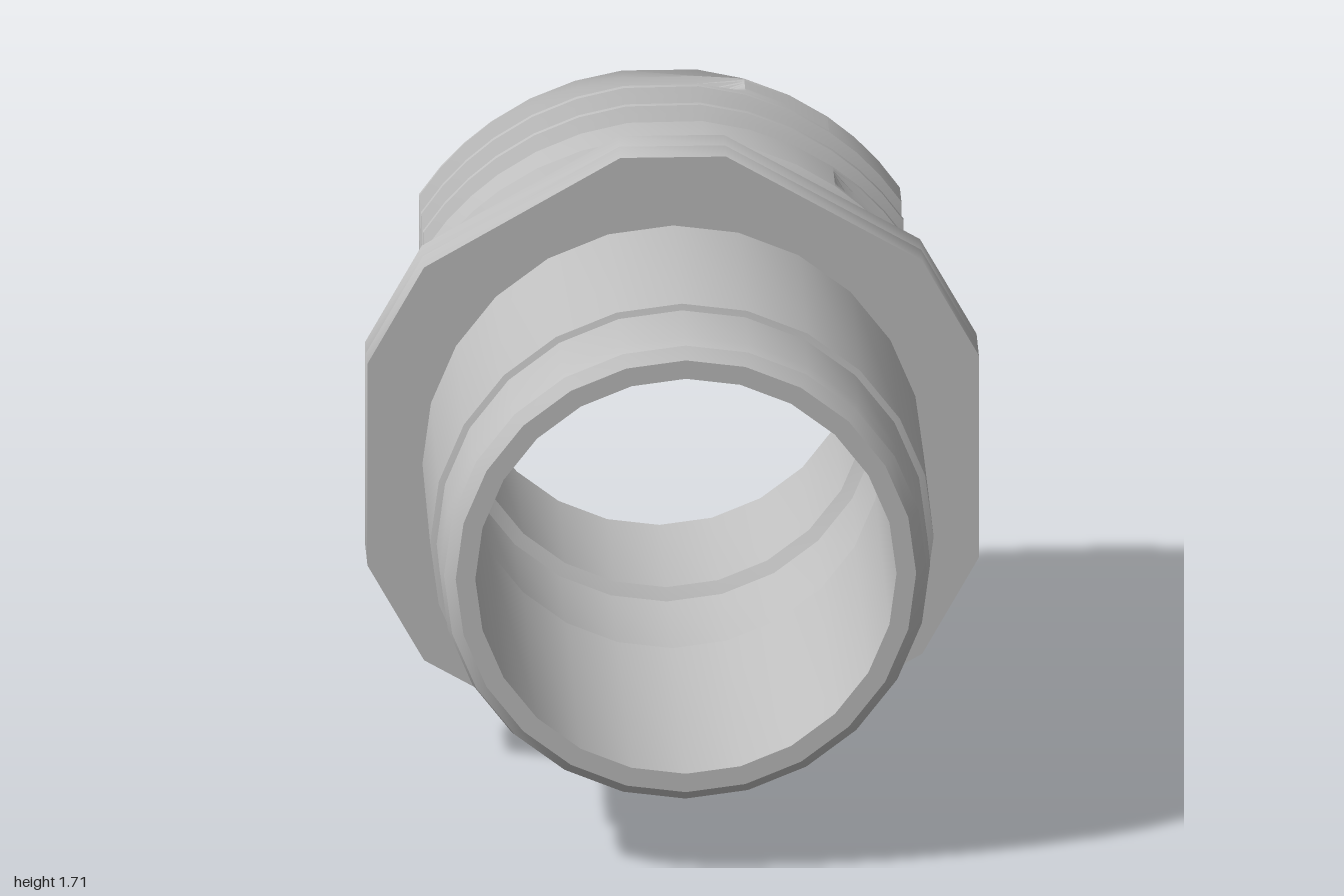
import * as THREE from 'three';
import { toCreasedNormals } from 'three/addons/utils/BufferGeometryUtils.js';

const metal = new THREE.MeshStandardMaterial({ color: 0xc0c0c0 });
metal.name = 'greyMetal';

function part(name, geometry, crease) {
  const mesh = new THREE.Mesh(toCreasedNormals(geometry, crease), metal);
  mesh.name = name;
  return mesh;
}

// Hollow sleeve: outer wall from back to front, rounded lip, then the stepped bore
function sleeve() {
  const profile = [
    [0.618, -0.34], [0.618, -0.05], [0.664, -0.05], [0.667, 0.635], [0.65, 0.64],
    [0.65, 0.84], [0.64, 0.88], [0.61, 0.912], [0.558, 0.912],
    [0.558, -0.04], [0.568, -0.05], [0.568, -0.42], [0.535, -0.44], [0.535, -0.912],
  ].map(([r, t]) => new THREE.Vector2(r, t));
  return new THREE.LatheGeometry(profile, 24).rotateX(Math.PI / 2);
}

// Hexagon with clipped corners and a round hole
function hexSlab(back, front, hole) {
  const quarter = [[0.81, 0.285], [0.66, 0.555], [0.14, 0.857]];
  const right = [...quarter.map(([x, y]) => [x, -y]).reverse(), ...quarter];
  const outline = [...right, ...right.map(([x, y]) => [-x, -y])];
  const shape = new THREE.Shape(outline.map(([x, y]) => new THREE.Vector2(x, y)));
  shape.holes.push(new THREE.Path().absarc(0, 0, hole, 0, Math.PI * 2, true));
  return new THREE.ExtrudeGeometry(shape, { depth: front - back, bevelEnabled: false, curveSegments: 12 })
    .translate(0, 0, back);
}

// Helical V-groove cut in a cylinder whose two sides are milled flat
function thread() {
  const crest = 0.757, root = 0.665, shoulder = 0.71, flat = 0.637, steps = 5;
  const pitch = 0.14, half = 0.062, start = -0.335, end = -0.912;
  const seam = -0.942, lastTurn = 2.78, full = Math.PI * 2;
  const level = (s) => root + (crest - root) * Math.abs(s) / steps;

  // Columns stand where each level of the groove meets the flats
  const quadrant = [0.1, 0.2, 0.7, 0.82, -seam, 1.1, 1.27, 1.44, Math.acos(flat / shoulder)];
  for (let s = 0; s <= steps; s++) quadrant.push(Math.acos(flat / level(s)));
  const angles = quadrant
    .flatMap((a) => [a, Math.PI - a, Math.PI + a, full - a])
    .map((a) => (a >= full + seam - 1e-6 ? a - full : a))
    .sort((a, b) => a - b);
  angles.push(angles[0] + full);

  const points = [];
  let rows = 0;
  angles.forEach((angle, i) => {
    const line = [[start, 0.6], [start, shoulder], [-0.385, crest]];
    for (let k = 0; k < 3; k++) {
      const along = angle / full + k;
      const cut = (i > 0 || k > 0) && along < lastTurn;
      for (let s = -steps; s <= steps; s++) {
        const t = Math.max(end, -0.475 - along * pitch - (s / steps) * half);
        line.push([t, cut ? level(s) : crest]);
      }
    }
    line.push([end, crest], [end, 0.535]);
    rows = line.length;
    for (const [t, r] of line) {
      const clipped = Math.min(r, flat / Math.abs(Math.cos(angle)));
      points.push(new THREE.Vector3(clipped * Math.cos(angle), -clipped * Math.sin(angle), t));
    }
  });

  // Each cell is split along its outer diagonal, which keeps the flat's edge clean
  const reach = (p, q) => Math.abs(points[p].x + points[q].x);
  const index = [];
  for (let i = 0; i < angles.length - 1; i++) {
    for (let j = 0; j < rows - 1; j++) {
      const a = i * rows + j, b = a + 1, c = a + rows, d = c + 1;
      if (reach(a, d) > reach(b, c)) index.push(a, c, d, a, d, b);
      else index.push(a, c, b, b, c, d);
    }
  }
  return new THREE.BufferGeometry().setFromPoints(points).setIndex(index);
}

export function createModel() {
  const model = new THREE.Group();
  model.name = 'pipeFitting';

  const fitting = new THREE.Group();
  fitting.name = 'fitting';
  fitting.add(
    part('sleeve', sleeve(), 0.5),
    part('hexFlangeFront', hexSlab(-0.05, 0.035, 0.6), 0.6),
    part('hexFlangeRecessedRim', hexSlab(-0.13, -0.05, 0.74), 0.6),
    part('threadedEnd', thread(), 0.4),
  );
  // The whole fitting lies slightly turned about the vertical
  fitting.rotation.y = THREE.MathUtils.degToRad(-9.5);
  fitting.position.set(-0.005, 0.857, 0);
  model.add(fitting);
  return model;
}
